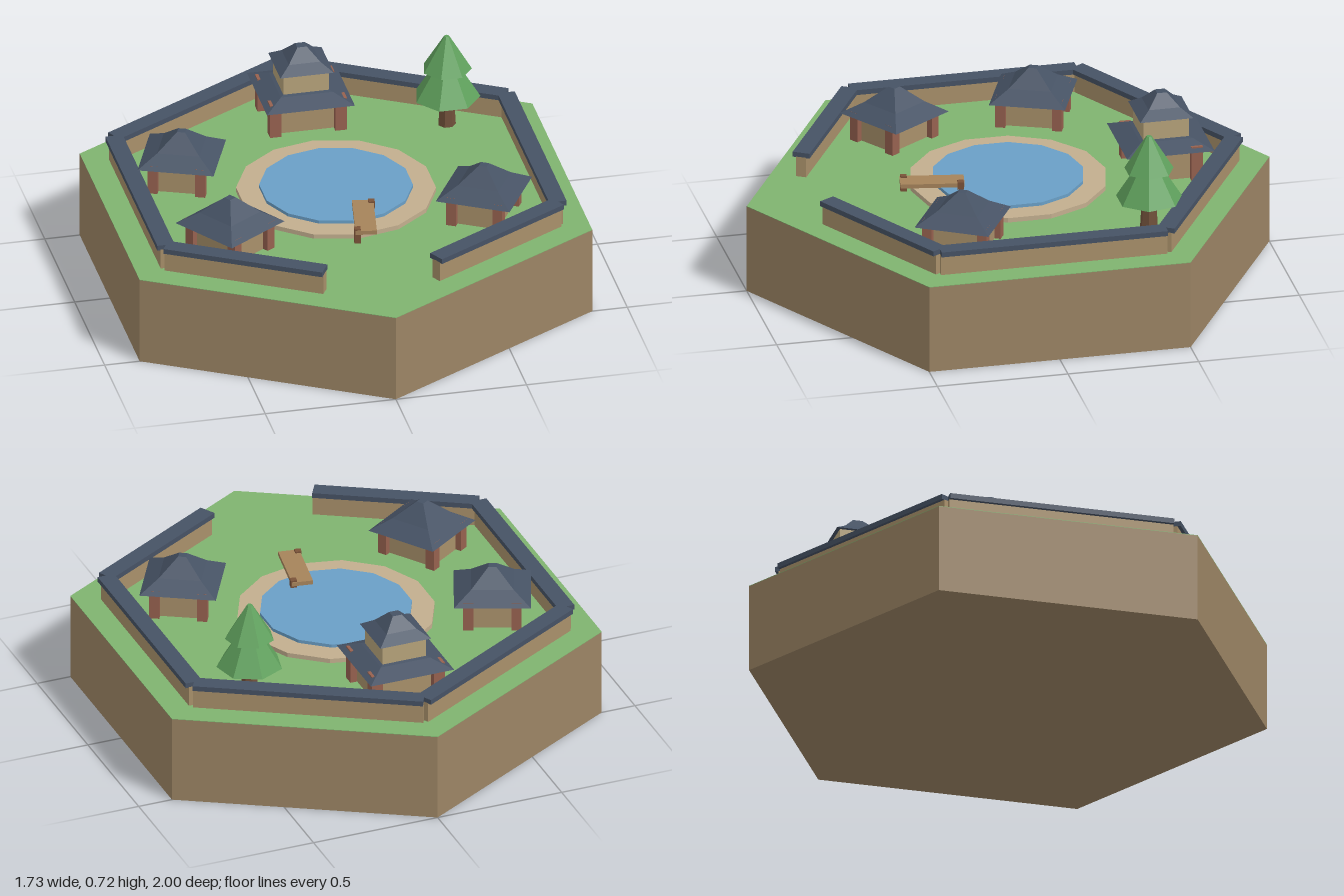
import * as THREE from 'three';

const GROUND = 0.347;
const mat = (color) => new THREE.MeshStandardMaterial({ color, flatShading: true });
const M = {
  earth: mat(0x9b8464), grass: mat(0x7fb36f), wall: mat(0xa8906a), roof: mat(0x465264),
  pillar: mat(0x96614f), plaster: mat(0xb5a27a), stone: mat(0xc2ae8e), water: mat(0x6a9fc6),
  wood: mat(0xa5835a), darkWood: mat(0x7a5238), leaf: mat(0x5fa05c), trunk: mat(0x70503a),
};

function add(parent, name, geometry, material, x = 0, y = 0, z = 0) {
  const mesh = new THREE.Mesh(geometry, material);
  mesh.name = name;
  mesh.position.set(x, y, z);
  parent.add(mesh);
  return mesh;
}

function addGroup(parent, name, x, y, z, turn = 0) {
  const g = new THREE.Group();
  g.name = name;
  g.position.set(x, y, z);
  g.rotation.y = turn;
  parent.add(g);
  return g;
}

const box = (w, h, d) => new THREE.BoxGeometry(w, h, d);

// Vertical-sided or tapered prism standing on its base
const prism = (rTop, rBottom, h, sides) =>
  new THREE.CylinderGeometry(rTop, rBottom, h, sides).translate(0, h / 2, 0);

// Square hipped roof from [half width, height] pairs, eaves to top
function hipRoof(profile) {
  const pts = [[0, profile[0][1]], ...profile, [0, profile[profile.length - 1][1]]];
  return new THREE.LatheGeometry(
    pts.map(([w, y]) => new THREE.Vector2(w * Math.SQRT2, y)), 4).rotateY(Math.PI / 4).toNonIndexed();
}

// Walls of a pavilion with four corner pillars
function pavilionBase(g, s) {
  add(g, 'pavilionWalls', box(0.24 * s, 0.125 * s, 0.2 * s), M.wall, 0, 0.0625 * s, 0);
  for (const x of [-1, 1]) for (const z of [-1, 1])
    add(g, 'cornerPillar', box(0.044 * s, 0.136 * s, 0.044 * s), M.pillar,
      x * 0.125 * s, 0.068 * s, z * 0.105 * s);
}

function addHut(parent, x, z) {
  const g = addGroup(parent, 'hut', x, GROUND, z, Math.atan2(x, z));
  pavilionBase(g, 0.857);
  add(g, 'hutRoof', hipRoof([[0.144, 0.104], [0.08, 0.147], [0.015, 0.209]]), M.roof);
}

function addPagoda(parent) {
  const g = addGroup(parent, 'pagoda', 0, GROUND, -0.585);
  pavilionBase(g, 1);
  add(g, 'lowerRoof', hipRoof([[0.168, 0.121], [0.1, 0.152], [0.06, 0.165]]), M.roof);
  add(g, 'upperStorey', box(0.175, 0.1, 0.175), M.plaster, 0, 0.189, 0);
  add(g, 'upperRoof', hipRoof([[0.102, 0.234], [0.06, 0.264], [0.018, 0.311]]), M.roof);
}

// Wall with an overhanging cap between two points
function addWall(parent, [x0, z0], [x1, z1]) {
  const length = Math.hypot(x1 - x0, z1 - z0);
  const g = addGroup(parent, 'perimeterWall', (x0 + x1) / 2, GROUND, (z0 + z1) / 2,
    Math.atan2(x1 - x0, z1 - z0));
  add(g, 'wallBody', box(0.04, 0.08, length), M.wall, 0, 0.04, 0);
  add(g, 'wallCap', box(0.066, 0.02, length), M.roof, 0, 0.088, 0);
}

export function createModel() {
  const model = new THREE.Group();
  model.name = 'gardenCompound';

  // Hexagonal ground
  add(model, 'earthBase', prism(1, 1, GROUND - 0.002, 6), M.earth);
  add(model, 'grassTop', prism(1, 1, 0.002, 6), M.grass, 0, GROUND - 0.002, 0);

  // Perimeter walls, mirrored, with the entrance gap at the front
  for (const s of [-1, 1]) {
    addWall(model, [0, -0.866], [s * 0.75, -0.433]);
    addWall(model, [s * 0.75, -0.433], [s * 0.75, 0.433]);
    addWall(model, [s * 0.75, 0.433], [s * 0.213, 0.743]);
  }

  // Pond, turned so that a corner points to the back
  add(model, 'pondRim', prism(0.373, 0.373, 0.018, 14), M.stone, 0, GROUND, 0);
  add(model, 'pondWater', prism(0.287, 0.287, 0.031, 14), M.water, 0, GROUND, 0);

  // Jetty with two posts at opposite corners
  const jetty = addGroup(model, 'jetty', 0.04, GROUND, 0.3, -0.17);
  add(jetty, 'jettyDeck', box(0.08, 0.016, 0.24), M.wood, 0, 0.047, 0);
  for (const s of [-1, 1])
    add(jetty, 'jettyPost', box(0.024, 0.061, 0.024), M.darkWood, s * 0.032, 0.0305, s * -0.105);

  // Buildings, all square to the centre
  addPagoda(model);
  addHut(model, -0.54, -0.22);
  addHut(model, -0.48, 0.325);
  addHut(model, 0.5, 0.288);

  // Conifer
  const tree = addGroup(model, 'tree', 0.52, GROUND, -0.42, Math.PI);
  add(tree, 'treeTrunk', prism(0.026, 0.034, 0.14, 7), M.trunk);
  add(tree, 'lowerFoliage', prism(0.02, 0.126, 0.17, 7), M.leaf, 0, 0.118, 0);
  add(tree, 'upperFoliage', prism(0.01, 0.094, 0.138, 7), M.leaf, 0, 0.235, 0);

  return model;
}
